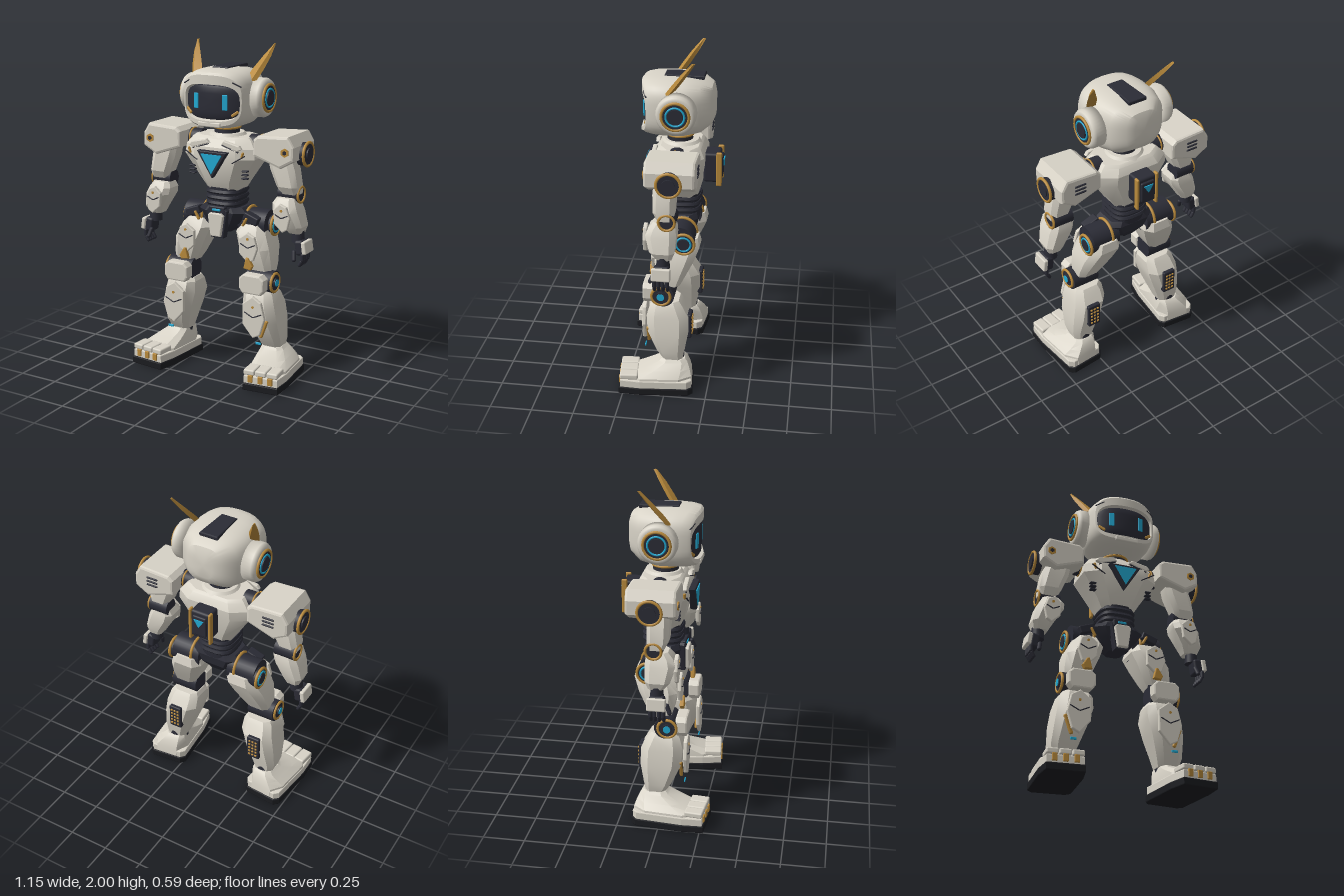
import * as THREE from 'three';
import { toCreasedNormals } from 'three/addons/utils/BufferGeometryUtils.js';
import { RoundedBoxGeometry } from 'three/addons/geometries/RoundedBoxGeometry.js';

const paint = (name, hex) => {
  const m = new THREE.MeshStandardMaterial({ color: hex });
  m.name = name;
  return m;
};

export function createModel() {
  const white = paint('ivory armour', 0xd8d3c7), dark = paint('charcoal joint', 0x2b2c36);
  const gold = paint('gold trim', 0xba8b3c), cyan = paint('cyan light', 0x22a9d2);
  const sole = paint('black rubber', 0x1b1c20);
  const root = new THREE.Group();
  root.name = 'robot';

  // Place a part; pair() also adds its mirror image with corrected winding
  const add = (name, mat, geo, p = [0, 0, 0], r = [0, 0, 0]) => {
    geo.applyMatrix4(new THREE.Matrix4().makeRotationFromEuler(new THREE.Euler(...r)).setPosition(...p));
    const mesh = new THREE.Mesh(geo, mat);
    mesh.name = name;
    root.add(mesh);
    return mesh;
  };
  const pair = (name, mat, geo, p, r) => {
    const left = add(name + 'Left', mat, geo, p, r);
    const g = geo.index ? geo.toNonIndexed() : geo.clone();
    g.scale(-1, 1, 1);
    for (const a of Object.values(g.attributes)) {
      const s = a.itemSize;
      for (let i = 0; i < a.count; i += 3) for (let k = 0; k < s; k++) {
        const u = (i + 1) * s + k, v = (i + 2) * s + k, t = a.array[u];
        a.array[u] = a.array[v];
        a.array[v] = t;
      }
    }
    const right = new THREE.Mesh(g, mat);
    right.name = name + 'Right';
    root.add(right);
    return left;
  };

  // Cross-section outlines: chamfered rectangle and superellipse
  const c = 0.6;
  const octagon = [[1, -c], [1, c], [c, 1], [-c, 1], [-1, c], [-1, -c], [-c, -1], [c, -1]];
  const soft = (n, e) => Array.from({ length: n }, (_, i) => {
    const a = i / n * Math.PI * 2, f = v => Math.sign(v) * Math.abs(v) ** (2 / e);
    return [f(Math.cos(a)), f(Math.sin(a))];
  });
  // Skin sections [y, centreX, centreZ, halfWidth, halfDepth]
  const loft = (sections, ring = octagon, crease = 0.45) => {
    const pos = [], idx = [], n = ring.length, last = sections.length - 1;
    for (const [y, cx, cz, w, d] of sections) for (const [u, v] of ring) pos.push(cx + u * w, y, cz + v * d);
    for (let i = 0; i < last; i++) for (let j = 0; j < n; j++) {
      const a = i * n + j, b = i * n + (j + 1) % n;
      idx.push(a, a + n, b, b, a + n, b + n);
    }
    const low = pos.length / 3;
    for (const s of [sections[0], sections[last]]) pos.push(s[1], s[0], s[2]);
    for (let j = 0; j < n; j++) {
      const k = (j + 1) % n;
      idx.push(low, j, k, low + 1, last * n + k, last * n + j);
    }
    const g = new THREE.BufferGeometry();
    g.setAttribute('position', new THREE.Float32BufferAttribute(pos, 3));
    g.setIndex(idx);
    return toCreasedNormals(g, crease);
  };
  const plate = (pts, depth, bevel = 0.006) => new THREE.ExtrudeGeometry(
    new THREE.Shape(pts.map(p => new THREE.Vector2(...p))),
    { depth, bevelEnabled: bevel > 0, bevelSize: bevel, bevelThickness: bevel, bevelSegments: 2, bevelOffset: -bevel });
  const box = (w, h, d, r = 0.008) => new RoundedBoxGeometry(w, h, d, 2, Math.min(r, w / 2.1, h / 2.1, d / 2.1));
  const across = [0, 0, Math.PI / 2], facing = [0, Math.PI / 2, 0];
  const disc = (r, len) => new THREE.CylinderGeometry(r, r, len, 28);
  const ring = (r, t) => new THREE.TorusGeometry(r, t, 8, 32);
  const wheel = (name, x, y, z, r, len, light) => {
    pair(name + 'Drum', dark, disc(r, len), [x - len / 2, y, z], across);
    pair(name + 'Rim', gold, ring(r, 0.009), [x - 0.004, y, z], facing);
    pair(name + 'Cap', dark, disc(r * 0.55, 0.016), [x, y, z], across);
    if (light) pair(name + 'Light', cyan, ring(r * 0.68, 0.006), [x, y, z], facing);
  };

  // Head shell and visor, skinned front to back and wrapped around the face
  const wrap = geo => {
    geo.rotateX(Math.PI / 2);
    const p = geo.attributes.position;
    for (let i = 0; i < p.count; i++) {
      const x = p.getX(i), z = p.getZ(i);
      p.setZ(i, z - 1.3 * x * x * THREE.MathUtils.smoothstep(z, 0, 0.15));
    }
    return toCreasedNormals(geo, 0.6);
  };
  const oval = soft(48, 3.2);
  add('headShell', white, wrap(loft([
    [-0.237, 0, -1.7, 0.06, 0.075], [-0.222, 0, -1.7, 0.11, 0.115], [-0.16, 0, -1.695, 0.178, 0.155],
    [-0.06, 0, -1.69, 0.21, 0.172], [0.05, 0, -1.69, 0.213, 0.172], [0.13, 0, -1.69, 0.207, 0.168],
    [0.175, 0, -1.69, 0.2, 0.158], [0.188, 0, -1.688, 0.192, 0.146], [0.188, 0, -1.675, 0.182, 0.106],
    [0.155, 0, -1.675, 0.176, 0.1]], oval)));
  add('visor', dark, wrap(loft([
    [0.14, 0, -1.675, 0.178, 0.102], [0.168, 0, -1.675, 0.174, 0.098], [0.175, 0, -1.675, 0.15, 0.085],
    [0.177, 0, -1.675, 0.1, 0.055], [0.178, 0, -1.675, 0.05, 0.025]], oval)));
  pair('eye', cyan, box(0.034, 0.09, 0.008, 0.012), [0.095, 1.68, 0.167], [0, 0.24, 0]);
  pair('cheekTrim', gold, box(0.05, 0.018, 0.012), [0.152, 1.617, 0.148], [0, 0.38, 0.6]);
  pair('browSeam', dark, box(0.06, 0.007, 0.01), [0.165, 1.785, 0.15], [0, 0.4, -0.45]);
  add('chinPlate', white, box(0.15, 0.03, 0.02), [0, 1.548, 0.178]);
  add('crownPlate', dark, plate([[-0.05, -0.055], [0.05, -0.055], [0.058, 0.175], [-0.058, 0.175]], 0.012),
    [0, 1.852, 0], [-Math.PI / 2, 0, 0]);

  // Ears and horns
  pair('earShell', white, new THREE.LatheGeometry([[0, -0.05], [0.115, -0.05], [0.115, 0.01], [0.106, 0.026],
    [0.09, 0.032], [0, 0.032]].map(p => new THREE.Vector2(...p)), 36), [0.24, 1.695, -0.037], [0, 0, -Math.PI / 2]);
  wheel('ear', 0.28, 1.695, -0.037, 0.078, 0.03, true);
  pair('horn', gold, loft([[1.795, 0.18, 0.012, 0.036, 0.022], [1.86, 0.206, -0.035, 0.035, 0.023],
    [1.93, 0.236, -0.085, 0.024, 0.02], [2.0, 0.261, -0.137, 0.004, 0.01]],
    [[1, 0], [0.3, 1], [-1, 0.3], [-0.3, -1]], 0.3));

  // Neck, chest and waist
  add('neck', dark, new THREE.CylinderGeometry(0.07, 0.08, 0.12, 28), [0, 1.49, -0.03]);
  add('neckRing', gold, ring(0.077, 0.008), [0, 1.505, -0.03], [Math.PI / 2, 0, 0]);
  add('collar', white, new THREE.CylinderGeometry(0.1, 0.12, 0.025, 28), [0, 1.463, -0.04]);
  add('chest', white, loft([[1.13, 0, -0.04, 0.1, 0.1], [1.19, 0, -0.035, 0.135, 0.125],
    [1.34, 0, -0.03, 0.235, 0.155], [1.4, 0, -0.035, 0.228, 0.152], [1.445, 0, -0.04, 0.195, 0.125],
    [1.46, 0, -0.04, 0.175, 0.11]]));
  const tri = (w, top, low) => [[-w, top], [0, low], [w, top]];
  add('chestFrame', dark, plate(tri(0.1, 1.383, 1.225), 0.03), [0, 0, 0.122]);
  add('chestLight', cyan, plate(tri(0.07, 1.367, 1.25), 0.006, 0), [0, 0, 0.159]);
  pair('collarPlate', white, plate([[0.04, 1.425], [0.15, 1.39], [0.175, 1.405], [0.16, 1.425], [0.06, 1.447]], 0.015),
    [0, 0, 0.1]);
  pair('collarSeam', dark, box(0.115, 0.006, 0.012), [0.1, 1.402, 0.112], [0, 0, -0.31]);
  pair('chestSeam', dark, box(0.1, 0.006, 0.01), [0.16, 1.345, 0.122], [0, 0, 0.55]);
  pair('chestTab', gold, box(0.014, 0.04, 0.016), [0.178, 1.37, 0.108], [0, 0, -0.3]);
  for (const i of [0, 1, 2]) {
    pair('chestVent' + i, dark, box(0.04, 0.009, 0.03), [0.178, 1.225 + i * 0.022, 0.07]);
    add('waistBand' + i, dark, loft([[1.04 + i * 0.035, 0, -0.04, 0.11, 0.118],
      [1.05 + i * 0.035, 0, -0.04, 0.116, 0.125], [1.065 + i * 0.035, 0, -0.04, 0.11, 0.118]], soft(32, 3)));
  }
  add('waist', dark, loft([[1.0, 0, -0.04, 0.11, 0.11], [1.15, 0, -0.04, 0.104, 0.115]], soft(32, 3)));

  // Backpack
  add('backpack', dark, box(0.13, 0.18, 0.1, 0.015), [0, 1.315, -0.225]);
  pair('backpackRail', gold, box(0.018, 0.21, 0.035), [0.065, 1.31, -0.267]);
  add('backpackPanel', dark, box(0.09, 0.13, 0.02), [0, 1.315, -0.277]);
  add('backpackLight', cyan, plate(tri(0.032, 0.025, -0.025), 0.006, 0), [0, 1.335, -0.288], [0, Math.PI, 0]);

  // Shoulders
  pair('shoulderAxle', dark, disc(0.055, 0.14), [0.235, 1.42, -0.035], across);
  pair('axleRing', gold, ring(0.054, 0.006), [0.232, 1.42, -0.035], facing);
  pair('shoulderArmour', white, plate([[0.245, 1.375], [0.42, 1.315], [0.507, 1.365], [0.507, 1.445],
    [0.47, 1.505], [0.275, 1.495], [0.245, 1.47]], 0.26, 0.015), [0, 0, -0.165]);
  wheel('shoulder', 0.537, 1.39, -0.035, 0.068, 0.05, false);
  pair('shoulderBolt', gold, new THREE.CylinderGeometry(0.026, 0.026, 0.012, 6), [0.455, 1.415, 0.112], [Math.PI / 2, 0, 0]);
  pair('shoulderBoltCore', dark, new THREE.CylinderGeometry(0.013, 0.013, 0.014, 6), [0.455, 1.415, 0.114], [Math.PI / 2, 0, 0]);
  for (const i of [0, 1, 2]) pair('shoulderVent' + i, dark, box(0.075, 0.012, 0.012), [0.385, 1.4 + i * 0.024, -0.181]);

  // Arms
  pair('upperArm', white, loft([[1.155, 0.445, -0.01, 0.055, 0.048], [1.2, 0.435, 0, 0.068, 0.062],
    [1.3, 0.405, 0, 0.08, 0.065], [1.37, 0.385, 0, 0.075, 0.06]]));
  pair('elbow', dark, disc(0.052, 0.13), [0.435, 1.15, -0.02], across);
  pair('elbowRing', gold, ring(0.046, 0.008), [0.5, 1.15, -0.02], facing);
  pair('forearm', white, loft([[0.925, 0.482, -0.005, 0.042, 0.045], [0.97, 0.478, 0.005, 0.062, 0.072],
    [1.06, 0.438, 0.015, 0.08, 0.088], [1.1, 0.426, 0.01, 0.074, 0.078], [1.135, 0.426, 0, 0.055, 0.058]]));
  // Front plate with a bolt and a dark V seam
  const guard = (name, pts, x, y, z, w, tilt) => {
    pair(name, white, plate(pts, 0.012), [x, y, z], [0, 0, tilt]);
    for (const s of [-1, 1]) pair(name + (s < 0 ? 'SeamA' : 'SeamB'), dark, box(w, 0.007, 0.008),
      [x + s * w * 0.45, y + w * 0.22, z + 0.018], [0, 0, s * 0.45]);
    pair(name + 'Bolt', gold, new THREE.CylinderGeometry(0.008, 0.008, 0.01, 8), [x, y + w, z + 0.018], [Math.PI / 2, 0, 0]);
  };
  const shield = (w, h) => [[-w, -h * 0.35], [-w * 0.2, -h], [w * 0.45, -h * 0.85], [w, -h * 0.1],
    [w * 0.8, h * 0.7], [0.1 * w, h], [-w * 0.85, h * 0.65]];
  guard('forearmGuard', shield(0.053, 0.085), 0.44, 1.03, 0.1, 0.045, 0.2);

  // Hands
  pair('wrist', dark, new THREE.CylinderGeometry(0.036, 0.04, 0.07, 20), [0.495, 0.905, 0]);
  pair('palm', dark, box(0.055, 0.09, 0.09, 0.015), [0.522, 0.845, 0.005], [0, 0, 0.15]);
  pair('handGuard', white, box(0.028, 0.075, 0.11), [0.556, 0.85, 0.005], [0, 0, 0.15]);
  for (let i = 0; i < 4; i++) {
    const z = 0.045 - i * 0.025;
    pair('knuckle' + i, dark, new THREE.CapsuleGeometry(0.012, 0.03, 4, 10), [0.545, 0.79, z]);
    pair('fingertip' + i, dark, new THREE.CapsuleGeometry(0.011, 0.025, 4, 10), [0.533, 0.754, z], [0, 0, -0.5]);
  }
  pair('thumb', dark, new THREE.CapsuleGeometry(0.013, 0.045, 4, 10), [0.5, 0.8, 0.065], [-0.4, 0, 0.2]);

  // Pelvis and hips
  add('pelvis', dark, loft([[0.87, 0, -0.03, 0.05, 0.06], [0.94, 0, -0.04, 0.12, 0.1], [1.0, 0, -0.04, 0.16, 0.11],
    [1.03, 0, -0.04, 0.13, 0.1]]));
  const crotch = s => [[-0.035 * s, -0.075 * s], [0.035 * s, -0.075 * s], [0.055 * s, 0.06 * s], [0.04 * s, 0.075 * s],
    [-0.04 * s, 0.075 * s], [-0.055 * s, 0.06 * s]];
  add('crotchFrame', dark, plate(crotch(1.25), 0.04), [0, 0.94, 0.05]);
  add('crotchPlate', white, plate(crotch(0.95), 0.03), [0, 0.93, 0.082]);
  add('beltBuckle', dark, box(0.11, 0.045, 0.06), [0, 1.018, 0.07]);
  add('beltLight', cyan, box(0.055, 0.014, 0.008), [0, 1.02, 0.102]);
  pair('hipDrum', dark, disc(0.085, 0.18), [0.19, 0.935, -0.065], across);
  pair('hipRing', gold, ring(0.086, 0.009), [0.15, 0.94, -0.065], [0, Math.PI / 2, 0.25]);
  pair('hipStrut', dark, box(0.1, 0.05, 0.06), [0.2, 0.975, 0.02], [0, 0, -0.35]);
  pair('hipTrim', gold, box(0.016, 0.06, 0.02), [0.165, 0.955, 0.05], [0, 0, -0.5]);
  wheel('hip', 0.305, 0.925, -0.09, 0.062, 0.06, true);

  // Legs
  pair('thigh', white, loft([[0.655, 0.262, -0.01, 0.07, 0.06], [0.7, 0.25, -0.015, 0.085, 0.078],
    [0.8, 0.222, -0.03, 0.102, 0.115], [0.88, 0.19, -0.055, 0.1, 0.122], [0.935, 0.185, -0.07, 0.08, 0.095]]));
  guard('thighGuard', shield(0.062, 0.092), 0.215, 0.815, 0.088, 0.055, 0.12);
  pair('thighTrim', gold, plate([[-0.03, -0.035], [0.02, -0.035], [0.03, -0.01], [-0.005, 0.035], [-0.02, 0.035]], 0.015),
    [0.225, 0.72, 0.098], [0, 0, -0.1]);
  pair('kneeJoint', dark, disc(0.068, 0.17), [0.275, 0.605, 0.025], across);
  wheel('knee', 0.368, 0.605, 0.035, 0.055, 0.05, false);
  pair('kneeLight', cyan, disc(0.022, 0.02), [0.37, 0.605, 0.035], across);
  pair('kneeCap', white, plate([[-0.06, -0.06], [0.06, -0.06], [0.082, -0.03], [0.082, 0.035], [0.055, 0.06],
    [-0.055, 0.06], [-0.082, 0.035], [-0.082, -0.03]], 0.05, 0.01), [0.262, 0.605, 0.09]);
  pair('shin', white, loft([[0.185, 0.325, -0.035, 0.064, 0.06], [0.24, 0.322, -0.022, 0.08, 0.082],
    [0.36, 0.298, -0.005, 0.098, 0.122], [0.46, 0.275, 0, 0.106, 0.125], [0.53, 0.267, 0.01, 0.096, 0.095],
    [0.555, 0.265, 0.01, 0.08, 0.075]]));
  guard('shinGuard', shield(0.075, 0.13), 0.278, 0.405, 0.134, 0.065, 0.1);
  pair('shinTrim', gold, box(0.022, 0.12, 0.02), [0.333, 0.33, 0.115], [0, 0, -0.35]);
  pair('shinLight', cyan, box(0.038, 0.016, 0.008), [0.308, 0.242, 0.136]);
  pair('calfVent', dark, box(0.085, 0.16, 0.035), [0.285, 0.39, -0.125]);
  for (let i = 0; i < 15; i++) pair('calfStud' + i, gold, box(0.014, 0.012, 0.012, 0.003),
    [0.263 + (i % 3) * 0.022, 0.338 + Math.floor(i / 3) * 0.026, -0.143]);
  pair('ankle', dark, new THREE.CylinderGeometry(0.06, 0.066, 0.07, 24), [0.325, 0.19, -0.04]);

  // Feet, splayed slightly outward
  const splay = 0.1, foot = (name, mat, geo, x, y, z) => pair(name, mat, geo.translate(x, y, z), [0.375, 0, 0.06], [0, splay, 0]);
  const outline = s => [[-0.1, -0.22], [0.1, -0.22], [0.127, -0.19], [0.127, 0.1], [0.11, 0.225],
    [-0.11, 0.225], [-0.127, 0.1], [-0.127, -0.19]].map(([x, z]) => [x * s, -z * s]);
  foot('footSole', sole, plate(outline(1), 0.033).rotateX(-Math.PI / 2), 0, 0.006, 0);
  foot('footBase', white, plate(outline(0.96), 0.04).rotateX(-Math.PI / 2), 0, 0.046, 0);
  foot('footInstep', white, loft([[0.05, 0, -0.01, 0.12, 0.205], [0.105, 0, -0.02, 0.115, 0.19],
    [0.14, -0.015, -0.065, 0.095, 0.135], [0.175, -0.03, -0.1, 0.072, 0.085], [0.19, -0.035, -0.1, 0.062, 0.07]]), 0, 0, 0);
  for (const i of [-1, 0, 1]) {
    foot('toe' + (i + 2), white, box(0.07, 0.035, 0.11, 0.01), i * 0.073, 0.112, 0.163);
    foot('toeTrim' + (i + 2), gold, box(0.03, 0.045, 0.016, 0.004), i * 0.062, 0.076, 0.217);
  }
  return root;
}
